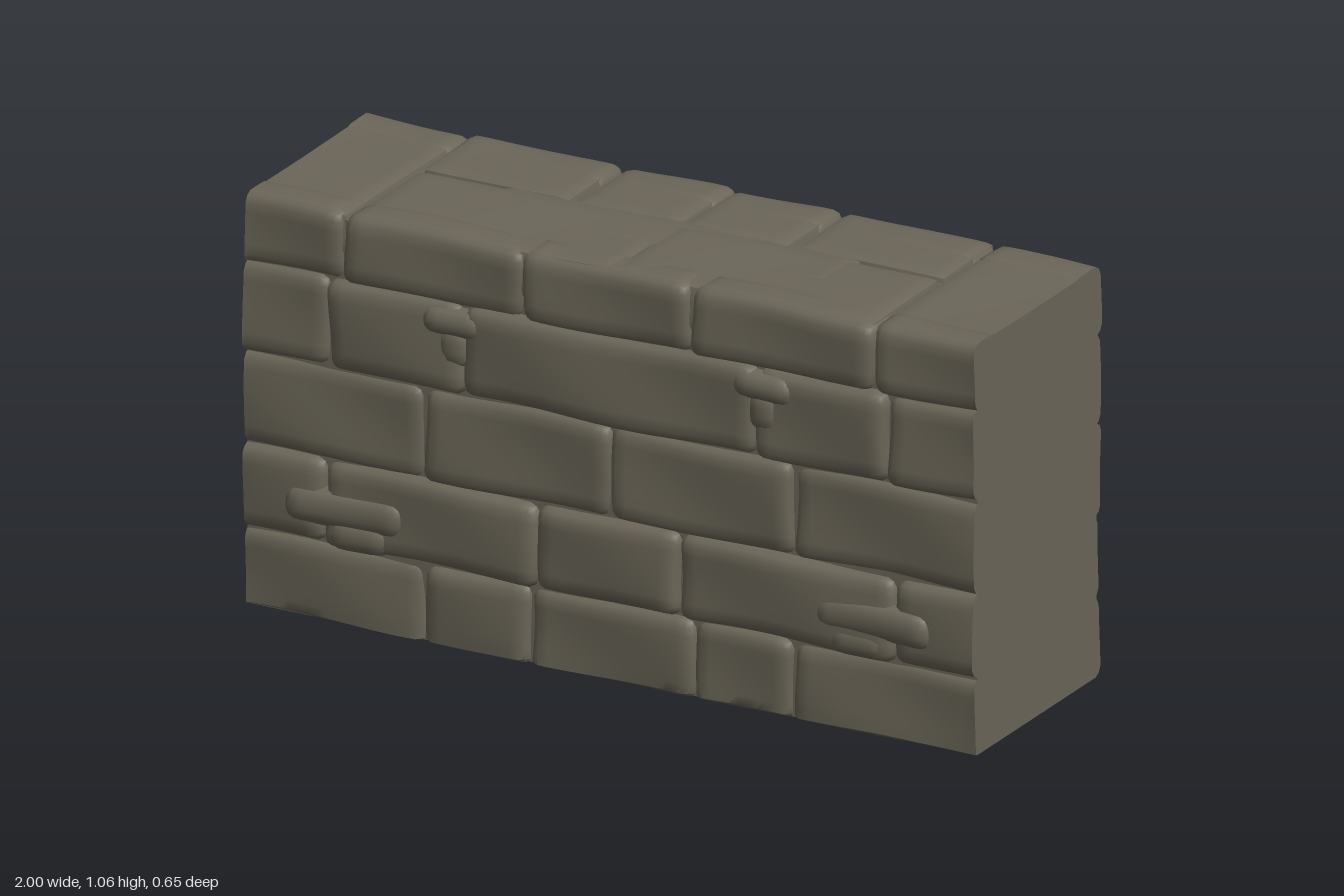
import * as THREE from 'three';
import { mergeVertices, toCreasedNormals } from 'three/addons/utils/BufferGeometryUtils.js';

const STEP = 0.025;

// A worn block: rounded edges, gently uneven, cut flat at the wall's ends and base
function stoneGeometry([x0, x1], [y0, y1], [z0, z1], radius = 0.032, wave = 0.005) {
  const size = [x1 - x0, y1 - y0, z1 - z0];
  const seg = size.map(s => Math.max(5, Math.round(s / STEP)));
  let geo = new THREE.BoxGeometry(...size, ...seg);
  geo.deleteAttribute('normal');
  geo.deleteAttribute('uv');
  geo = mergeVertices(geo);
  const pos = geo.attributes.position;
  const r = Math.min(radius, ...size.map(s => s * 0.49));
  const half = new THREE.Vector3(...size).multiplyScalar(0.5).subScalar(r);
  const low = half.clone().negate();
  const p = new THREE.Vector3(), inner = new THREE.Vector3();
  for (let i = 0; i < pos.count; i++) {
    p.fromBufferAttribute(pos, i);
    inner.copy(p).clamp(low, half);
    p.sub(inner).setLength(r).add(inner);
    p.x += (x0 + x1) / 2;
    p.y += (y0 + y1) / 2;
    p.z += (z0 + z1) / 2;
    const { x, y, z } = p;
    p.x += wave * 0.8 * Math.sin(17 * y + 5 * z + x0 * 7);
    p.y += wave * 0.6 * Math.sin(11 * x + 6 * z + x0 * 9);
    p.z += wave * Math.sin(9 * x + 13 * y + y0 * 21 + x0 * 5);
    p.x = THREE.MathUtils.clamp(p.x, -1, 1);
    p.y = THREE.MathUtils.clamp(p.y, 0, 1.058);
    pos.setXYZ(i, p.x, p.y, p.z);
  }
  return toCreasedNormals(geo, 0.8);
}

export function createModel() {
  const wall = new THREE.Group();
  wall.name = 'stoneWall';
  const stone = new THREE.MeshStandardMaterial({ color: 0x6b6658 });
  stone.name = 'greyBrownStone';

  const add = (parent, name, geo) => {
    const mesh = new THREE.Mesh(geo, stone);
    mesh.name = name;
    parent.add(mesh);
    return mesh;
  };
  const group = name => {
    const g = new THREE.Group();
    g.name = name;
    wall.add(g);
    return g;
  };

  // Solid core, with a round hollow in the base
  const hollow = 0.17, slabTop = 0.2, coreTop = 1.035;
  const base = new THREE.Shape();
  base.moveTo(-1, -0.285).lineTo(1, -0.285).lineTo(1, 0.292).lineTo(-1, 0.292).closePath();
  base.holes.push(new THREE.Path().absarc(0, 0, hollow, 0, Math.PI * 2, true));
  const slab = new THREE.ExtrudeGeometry(base, { depth: slabTop, bevelEnabled: false, curveSegments: 32 });
  slab.rotateX(-Math.PI / 2);
  add(wall, 'coreBase', slab);
  const core = add(wall, 'core', new THREE.BoxGeometry(2, coreTop - slabTop, 0.577));
  core.position.set(0, (coreTop + slabTop) / 2, -0.0035);
  const dome = new THREE.SphereGeometry(hollow, 32, 12, 0, Math.PI * 2, 0, Math.PI / 2);
  dome.scale(1, 0.9, 1);
  dome.index.array.reverse(); // seen from inside
  const n = dome.attributes.normal;
  for (let i = 0; i < n.count; i++) n.setXYZ(i, -n.getX(i), -n.getY(i), -n.getZ(i));
  add(wall, 'baseHollow', dome);

  // Courses: height range, how far the face stands out, seams along x
  const front = [
    { y: [-0.02, 0.2], out: 0.303, seams: [-0.51, -0.22, 0.23, 0.5] },
    { y: [0.195, 0.415], out: 0.312, seams: [-0.78, -0.2, 0.19, 0.78] },
    { y: [0.41, 0.655], out: 0.304, seams: [-0.51, 0, 0.5] },
    { y: [0.65, 0.885], out: 0.313, seams: [-0.77, -0.4, 0.4, 0.76] },
    { y: [0.875, 1.056], out: 0.306, seams: [-0.73, -0.24, 0.22, 0.72] },
  ];
  const back = [
    { y: [-0.005, 0.205], out: 0.315, seams: [-0.5, -0.19, 0.13, 0.5] },
    { y: [0.2, 0.415], out: 0.309, seams: [-0.72, -0.22, 0.2, 0.5] },
    { y: [0.41, 0.65], out: 0.321, seams: [-0.77, -0.45, 0, 0.48] },
    { y: [0.645, 0.885], out: 0.316, seams: [-0.76, -0.26, 0, 0.76] },
    { y: [0.875, 1.056], out: 0.322, seams: [-0.72, -0.3, 0, 0.3, 0.72] },
  ];
  const lay = (name, courses, side) => {
    const face = group(name);
    courses.forEach(({ y, out, seams }, row) => {
      const xs = [-1.06, ...seams, 1.06];
      for (let i = 0; i + 1 < xs.length; i++) {
        // end blocks sit a little further in
        const o = out - (i === 0 || i === xs.length - 2 ? 0.006 : 0);
        const z = side > 0 ? [0.18, o] : [-o, -0.18];
        add(face, `${name}Course${row + 1}Block${i + 1}`,
          stoneGeometry([xs[i] - 0.003, xs[i + 1] + 0.003], y, z));
      }
    });
  };
  lay('front', front, 1);
  lay('back', back, -1);

  // Proud, broken lumps on the front, mirrored
  const lumps = group('frontLumps');
  for (const s of [-1, 1]) {
    const span = (a, b) => (s > 0 ? [a, b] : [-b, -a]);
    add(lumps, 'lowLedge', stoneGeometry(span(0.56, 0.89), [0.245, 0.345], [0.24, 0.325], 0.04, 0.004));
    add(lumps, 'lowChip', stoneGeometry(span(0.6, 0.77), [0.19, 0.28], [0.24, 0.321], 0.04, 0.003));
    add(lumps, 'highChip', stoneGeometry(span(0.34, 0.51), [0.8, 0.875], [0.24, 0.322], 0.035, 0.003));
    add(lumps, 'highKnob', stoneGeometry(span(0.38, 0.47), [0.72, 0.83], [0.24, 0.317], 0.035, 0.003));
  }

  // Capping blocks along the top
  const top = group('topBlocks');
  const cap = (name, x, z, h = 1.055) => add(top, name, stoneGeometry(x, [0.93, h], z, 0.02, 0.003));
  for (const s of [-1, 1]) {
    const span = (a, b) => (s > 0 ? [a, b] : [-b, -a]);
    cap('endCap', span(0.722, 1.06), [-0.305, 0.288], 1.052);
    cap('frontCap', span(-0.003, 0.718), [-0.05, 0.29]);
    cap('backInnerCap', span(0.002, 0.296), [-0.312, -0.046]);
    cap('backOuterCap', span(0.304, 0.718), [-0.312, -0.053]);
  }
  cap('middleCap', [-0.49, 0.49], [-0.075, 0.12], 1.053);

  return wall;
}
